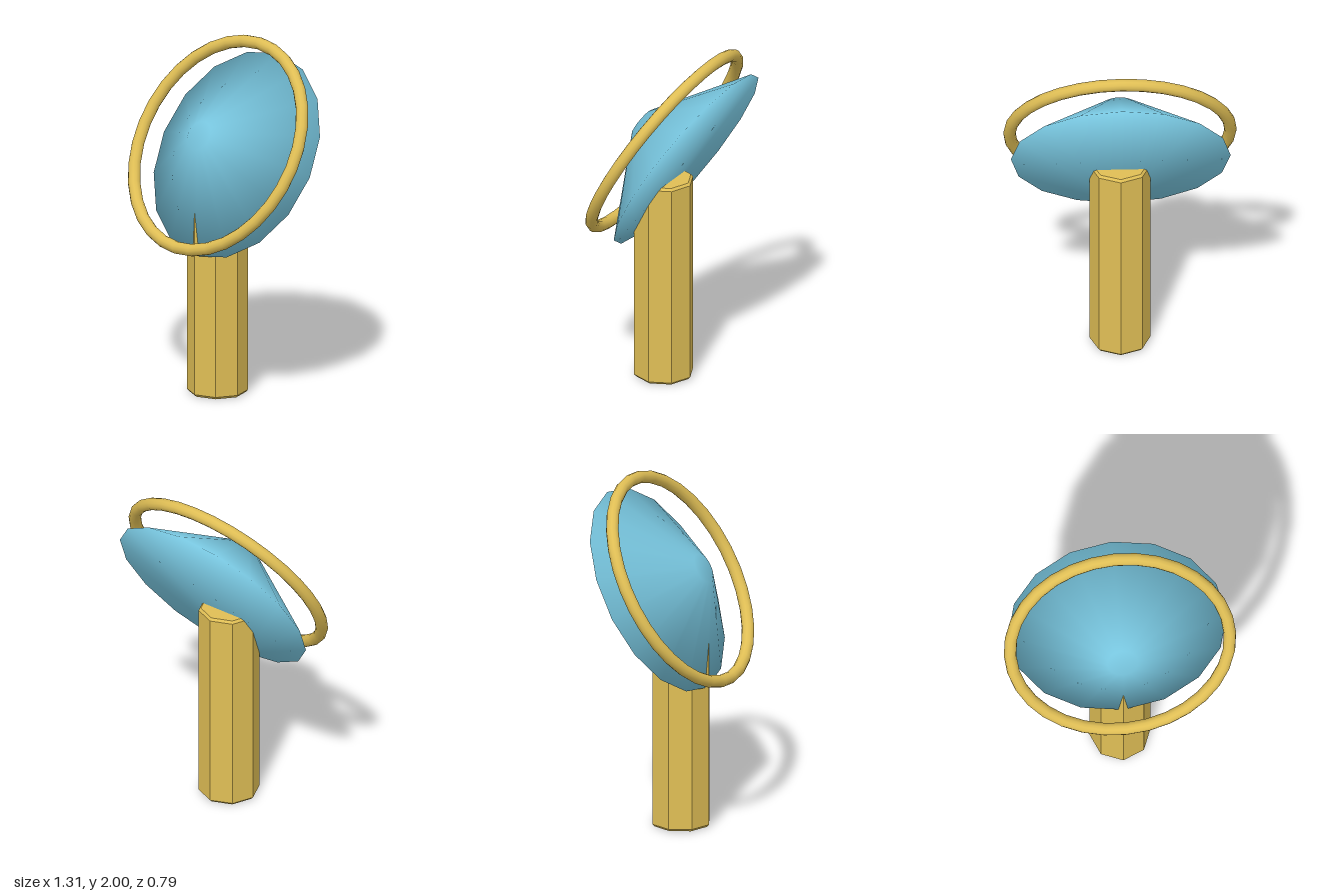
import * as THREE from 'three';

// Closed frustum with softened normals shared by its sides and flat ends
function softFrustum(topR, rimR, height, sides) {
  const pos = [], nor = [], idx = [];
  const rings = [
    { r: topR, y: height, nr: 0.27, ny: 0.96 },
    { r: rimR, y: 0, nr: 0.975, ny: -0.22 },
  ];
  for (const { r, y, nr, ny } of rings) {
    for (let i = 0; i < sides; i++) {
      const a = (i / sides) * Math.PI * 2;
      pos.push(Math.sin(a) * r, y, Math.cos(a) * r);
      nor.push(Math.sin(a) * nr, ny, Math.cos(a) * nr);
    }
  }
  for (let i = 0; i < sides; i++) {
    const j = (i + 1) % sides;
    idx.push(sides + i, sides + j, j, sides + i, j, i);
    if (i > 0 && j > 0) idx.push(0, i, j, sides, sides + j, sides + i);
  }
  const geo = new THREE.BufferGeometry();
  geo.setAttribute('position', new THREE.Float32BufferAttribute(pos, 3));
  geo.setAttribute('normal', new THREE.Float32BufferAttribute(nor, 3));
  geo.setIndex(idx);
  return geo;
}

export function createModel() {
  const group = new THREE.Group();
  const gold = new THREE.MeshStandardMaterial({ color: 0xdfbe55 });
  gold.name = 'gold';
  const blue = new THREE.MeshStandardMaterial({ color: 0x78c6df });
  blue.name = 'sky blue';

  const add = (name, geo, mat, y, z, tilt = 0) => {
    const mesh = new THREE.Mesh(geo, mat);
    mesh.name = name;
    mesh.position.set(0, y, z);
    mesh.rotation.x = THREE.MathUtils.degToRad(tilt);
    group.add(mesh);
  };

  // Eight-sided post with small bevels at both ends
  const profile = [[0, 0], [0.158, 0], [0.171, 0.014], [0.171, 1.191], [0.158, 1.205], [0, 1.205]]
    .map(([r, y]) => new THREE.Vector2(r, y));
  const post = new THREE.LatheGeometry(profile, 8).toNonIndexed();
  post.computeVertexNormals();
  add('post', post, gold, 0, 0.055);

  // Wide shallow cone with a blunt tip, leaning back
  add('dish', softFrustum(0.087, 0.615, 0.328, 16), blue, 1.35, -0.09, 60);

  // Ring floating around the dish at the same lean
  add('ring', new THREE.TorusGeometry(0.618, 0.035, 12, 32), gold, 1.43, 0.05, -30);

  return group;
}
